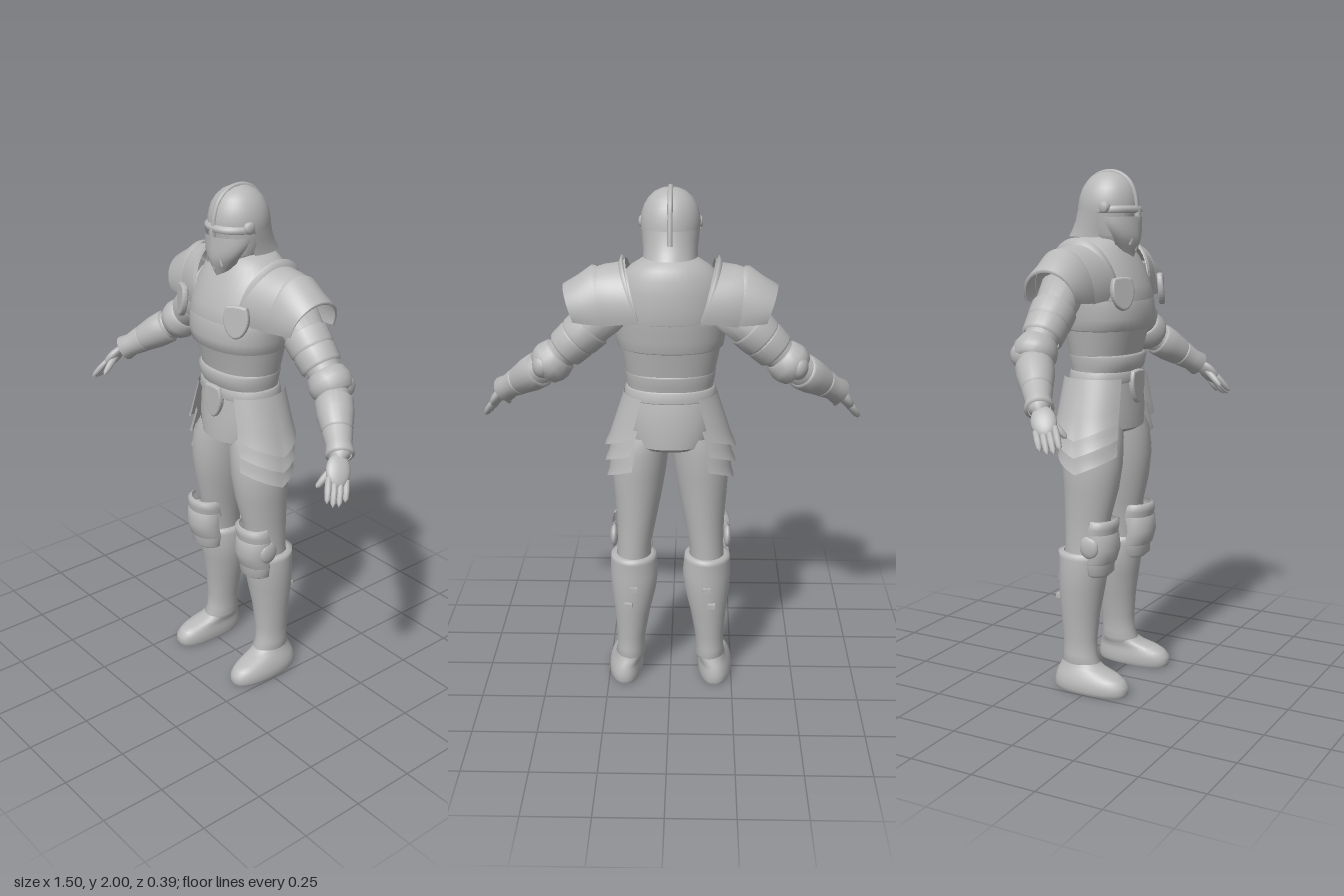
import * as THREE from 'three';

const steel = new THREE.MeshStandardMaterial({ color: 0xb8b8b8, side: THREE.DoubleSide });
steel.name = 'steel';
const V = (x, y, z) => new THREE.Vector3(x, y, z);
const PI = Math.PI;

// Smooth surface grid; fn(u, v) returns a point, closed joins u = 1 to u = 0
function grid(nu, nv, fn, closed = false) {
  const pos = [], idx = [], cols = closed ? nu : nu + 1;
  for (let j = 0; j <= nv; j++)
    for (let i = 0; i < cols; i++) pos.push(...fn(i / nu, j / nv, j));
  for (let j = 0; j < nv; j++)
    for (let i = 0; i < nu; i++) {
      const a = j * cols + i, b = j * cols + (i + 1) % cols;
      idx.push(a, a + cols, b, b, a + cols, b + cols);
    }
  const g = new THREE.BufferGeometry();
  g.setAttribute('position', new THREE.Float32BufferAttribute(pos, 3));
  g.setIndex(idx);
  g.computeVertexNormals();
  return g;
}

// Loft of horizontal oval rings [y, x0, x1, z0, z1], bottom to top.
// A repeated ring makes a crease; t0..t1 picks an open arc (0 = +x, PI/2 = front).
function loft(rings, { t0 = 0, t1 = 2 * PI, n = 36, p = 2 } = {}) {
  const pw = (c) => Math.sign(c) * Math.abs(c) ** (2 / p);
  return grid(n, rings.length - 1, (u, v, j) => {
    const [y, x0, x1, z0, z1] = rings[j], t = t0 + (t1 - t0) * u;
    return [(x0 + x1 + (x1 - x0) * pw(Math.cos(t))) / 2, y, (z0 + z1 + (z1 - z0) * pw(Math.sin(t))) / 2];
  }, t1 - t0 > 6.28);
}
// Symmetric rings [y, halfWidth, z0, z1]
const sym = (rows) => rows.map(([y, w, a, b]) => [y, -w, w, a, b]);

// Round sleeve from a to b with profile [t, radius]
function sleeve(a, b, profile, n = 20) {
  const d = b.clone().sub(a), len = d.length();
  const g = new THREE.LatheGeometry(profile.map(([t, r]) => new THREE.Vector2(r, t * len)), n);
  g.applyQuaternion(new THREE.Quaternion().setFromUnitVectors(V(0, 1, 0), d.normalize()));
  return g.translate(a.x, a.y, a.z);
}

// Arched plate along x from stations [x, cy, cz, halfDepth, height]
function arch(stations, lean) {
  return grid(28, stations.length - 1, (u, v, j) => {
    const [x, cy, cz, a, b] = stations[j], t = -0.2 + u * (PI + 0.4);
    return [x - lean * (1 - Math.sin(t)), cy + b * Math.sin(t), cz + a * Math.cos(t)];
  });
}

// Bevelled shield plate facing +z
function shield(w, top, bottom) {
  const s = new THREE.Shape();
  s.moveTo(-w * 0.8, top);
  s.quadraticCurveTo(0, top * 1.15, w * 0.8, top);
  s.quadraticCurveTo(w * 1.25, 0, w * 0.6, bottom * 0.7);
  s.quadraticCurveTo(w * 0.3, bottom, 0, bottom);
  s.quadraticCurveTo(-w * 0.3, bottom, -w * 0.6, bottom * 0.7);
  s.quadraticCurveTo(-w * 1.25, 0, -w * 0.8, top);
  return new THREE.ExtrudeGeometry(s, { depth: 0.008, bevelEnabled: true, bevelSize: 0.008, bevelThickness: 0.008, bevelSegments: 3, curveSegments: 8 });
}

function mirrored(g) {
  const m = g.clone().scale(-1, 1, 1);
  const n = m.attributes.position.count;
  const idx = m.index ? Array.from(m.index.array) : Array.from({ length: n }, (_, i) => i);
  for (let i = 0; i < idx.length; i += 3) [idx[i], idx[i + 1]] = [idx[i + 1], idx[i]];
  m.setIndex(idx);
  return m;
}

export function createModel() {
  const model = new THREE.Group();
  model.name = 'armouredKnight';
  const add = (name, g) => {
    const m = new THREE.Mesh(g, steel);
    m.name = name;
    model.add(m);
  };
  const pair = (name, g) => { add(name + 'Left', g); add(name + 'Right', mirrored(g)); };

  // Torso
  add('breastplate', loft(sym([[1.405, 0.19, -0.172, 0.122], [1.41, 0.2, -0.178, 0.138], [1.45, 0.207, -0.183, 0.146], [1.5, 0.213, -0.19, 0.142],
    [1.525, 0.213, -0.192, 0.134]]), { p: 2.2 }));
  add('upperChest', loft(sym([[1.515, 0.212, -0.19, 0.132], [1.52, 0.217, -0.194, 0.141], [1.57, 0.213, -0.196, 0.128], [1.63, 0.2, -0.193, 0.105],
    [1.68, 0.18, -0.184, 0.078], [1.715, 0.145, -0.172, 0.055], [1.74, 0.105, -0.155, 0.035], [1.75, 0.06, -0.12, 0.01]]), { p: 2.1 }));
  add('abdomen', loft(sym([[1.27, 0.16, -0.145, 0.092], [1.32, 0.172, -0.152, 0.098], [1.42, 0.192, -0.172, 0.125]]), { p: 2.2 }));
  add('waistPlate', loft(sym([[1.24, 0.162, -0.142, 0.095], [1.265, 0.166, -0.147, 0.108], [1.305, 0.173, -0.155, 0.115], [1.312, 0.168, -0.15, 0.1]]), { p: 2.2 }));
  add('belt', loft(sym([[1.205, 0.172, -0.15, 0.098], [1.21, 0.178, -0.155, 0.106], [1.245, 0.172, -0.15, 0.104], [1.25, 0.164, -0.144, 0.094]]), { p: 2.2 }));
  add('hips', loft(sym([[1.0, 0.03, -0.06, 0.02], [1.015, 0.13, -0.15, 0.085], [1.03, 0.155, -0.168, 0.11], [1.03, 0.155, -0.168, 0.11],
    [1.1, 0.175, -0.166, 0.108], [1.17, 0.175, -0.158, 0.1], [1.22, 0.17, -0.148, 0.095]]), { p: 2.2 }));
  add('buckle', shield(0.042, 0.04, -0.07).translate(0, 1.2, 0.1));
  add('neck', loft(sym([[1.7, 0.085, -0.13, 0.04], [1.76, 0.07, -0.115, 0.03], [1.84, 0.065, -0.11, 0.03]])));

  // Helmet
  add('helmetDome', loft(sym([[1.845, 0.108, -0.137, 0.098], [1.87, 0.11, -0.134, 0.1], [1.9, 0.106, -0.128, 0.095], [1.93, 0.096, -0.117, 0.086],
    [1.955, 0.08, -0.1, 0.07], [1.975, 0.058, -0.077, 0.047], [1.987, 0.032, -0.05, 0.018], [1.992, 0.001, -0.021, -0.019]])));
  add('neckGuard', loft(sym([[1.75, 0.1, -0.178, 0.06], [1.775, 0.1, -0.163, 0.07], [1.81, 0.104, -0.147, 0.085], [1.85, 0.108, -0.137, 0.098]]),
    { t0: PI * 0.88, t1: PI * 2.12 }));
  add('head', loft(sym([[1.7, 0.04, -0.08, 0.05], [1.76, 0.075, -0.1, 0.075], [1.86, 0.095, -0.12, 0.085]])));
  add('visor', grid(24, 6, (u, v) => {
    const s = u * 2 - 1, w = 0.045 + 0.062 * Math.sin(v * PI / 2);
    return [w * Math.sin(-s * PI / 2), 1.675 + 0.15 * v + 0.035 * Math.abs(s) * (1 - v), 0.088 + 0.026 * Math.min(1, v * 2.5) - (0.05 + 0.05 * v) * Math.abs(s) ** 1.5];
  }));
  add('browRidge', loft(sym([[1.838, 0.107, -0.13, 0.1], [1.842, 0.113, -0.13, 0.113], [1.858, 0.113, -0.13, 0.112], [1.866, 0.107, -0.13, 0.1]]),
    { t0: PI * 0.02, t1: PI * 0.98 }));
  add('noseRidge', sleeve(V(0, 1.69, 0.095), V(0, 1.86, 0.108), [[0, 0], [0.08, 0.008], [0.9, 0.012], [1, 0]], 8));
  const crest = [[0.1, 1.86], [0.094, 1.9], [0.072, 1.95], [0.03, 1.982], [-0.02, 1.99], [-0.07, 1.976], [-0.11, 1.94], [-0.128, 1.89], [-0.148, 1.8]];
  add('crest', new THREE.TubeGeometry(new THREE.CatmullRomCurve3(crest.map(([z, y]) => V(0, y, z))), 40, 0.01, 8));
  pair('visorHinge', sleeve(V(0.095, 1.86, 0.02), V(0.118, 1.86, 0.02), [[0, 0.022], [0.7, 0.022], [1, 0.014], [1, 0]], 14));
  pair('cheekGuard', loft(sym([[1.755, 0.09, -0.09, 0.085], [1.79, 0.1, -0.11, 0.09], [1.85, 0.107, -0.13, 0.095]]), { t0: -0.4, t1: 1.0, n: 10 }));
  pair('breathSlot', new THREE.BoxGeometry(0.007, 0.05, 0.007).rotateZ(0.3).rotateY(0.6).translate(0.035, 1.745, 0.098));

  // Shoulders and chest rondels
  pair('shoulderPlate', arch([[0.165, 1.56, -0.055, 0.145, 0.18], [0.18, 1.56, -0.055, 0.145, 0.165], [0.24, 1.555, -0.06, 0.135, 0.162],
    [0.3, 1.545, -0.065, 0.12, 0.155], [0.305, 1.545, -0.065, 0.115, 0.147]], 0.045));
  pair('shoulderFlare', arch([[0.27, 1.55, -0.063, 0.118, 0.162], [0.29, 1.55, -0.063, 0.122, 0.164], [0.34, 1.545, -0.065, 0.112, 0.133],
    [0.395, 1.545, -0.065, 0.106, 0.1], [0.39, 1.54, -0.065, 0.1, 0.092]], 0.035));
  pair('collarRidge', arch([[0.172, 1.57, -0.055, 0.135, 0.165], [0.18, 1.57, -0.055, 0.145, 0.18], [0.19, 1.56, -0.055, 0.14, 0.165]], 0.05));
  pair('rondel', shield(0.043, 0.048, -0.055).rotateX(-0.1).rotateY(0.45).translate(0.158, 1.55, 0.122));

  // Arms
  const shoulder = V(0.22, 1.56, -0.09), elbow = V(0.455, 1.34, -0.075), wrist = V(0.655, 1.19, 0.07);
  pair('upperArm', sleeve(shoulder, elbow, [[0, 0], [0, 0.085], [0.4, 0.074], [0.8, 0.062], [1.02, 0.055], [1.08, 0]]));
  pair('upperArmPlate', sleeve(shoulder, elbow, [[0.3, 0.078], [0.32, 0.086], [0.5, 0.083], [0.53, 0.078], [0.53, 0.078], [0.55, 0.081], [0.72, 0.077], [0.75, 0.068]]));
  pair('elbowCop', sleeve(shoulder, elbow, [[0.8, 0.06], [0.82, 0.072], [0.93, 0.082], [1.0, 0.08], [1.08, 0.07], [1.1, 0.055]]));
  pair('elbowPoint', new THREE.SphereGeometry(0.05, 16, 12).scale(0.8, 1, 1).translate(0.475, 1.345, -0.105));
  pair('forearm', sleeve(elbow, wrist, [[0, 0], [0, 0.058], [0.4, 0.058], [1, 0.036], [1.1, 0]]));
  pair('vambrace', sleeve(elbow, wrist, [[0.2, 0.058], [0.22, 0.07], [0.4, 0.067], [0.62, 0.056], [0.64, 0.05], [0.64, 0.05], [0.66, 0.055], [0.85, 0.046], [0.98, 0.052], [1, 0.04]]));

  // Hands
  const dir = V(0.43, -0.72, 0.45).normalize(), wide = V(-0.45, 0.25, 0.85).normalize(), thin = wide.clone().cross(dir).normalize();
  wide.copy(dir).cross(thin).normalize();
  const finger = [[0, 0], [0.02, 0.011], [0.5, 0.0125], [0.85, 0.01], [1, 0]];
  const palm = new THREE.Matrix4().makeBasis(wide.clone().multiplyScalar(0.045), dir.clone().multiplyScalar(0.062), thin.clone().multiplyScalar(0.022));
  pair('palm', new THREE.SphereGeometry(1, 18, 14).applyMatrix4(palm.setPosition(0.68, 1.155, 0.102)));
  for (let i = 0; i < 4; i++) {
    const base = V(0.693, 1.135, 0.115).addScaledVector(wide, (i - 1.5) * 0.022);
    pair('finger' + (i + 1), sleeve(base, base.clone().addScaledVector(dir, [0.08, 0.1, 0.105, 0.095][i]), finger, 10));
  }
  pair('thumb', sleeve(V(0.665, 1.17, 0.1), V(0.65, 1.1, 0.175), [[0, 0], [0.1, 0.016], [0.6, 0.014], [0.9, 0.01], [1, 0]], 10));

  // Side skirt: three overlapping chevron plates, lowest first
  [[1.02, 0.87, 0.222, 0.244], [1.1, 0.935, 0.205, 0.25], [1.225, 1.0, 0.178, 0.25]].forEach(([top, low, r0, r1], k) => {
    pair('skirtPlate' + (3 - k), grid(20, 6, (u, v) => {
      const s = u * 2 - 1, t = s * 1.02, bottom = low + 0.065 * Math.abs(s);
      const r = r1 + (r0 - r1) * v + (v === 0 ? 0.004 : 0);
      return [r * Math.cos(t) ** 0.8, bottom + (top - bottom) * v, -0.03 + (0.15 + 0.004 * k - 0.012 * v) * Math.sin(t)];
    }));
  });

  // Legs
  pair('thigh', loft([[0.5, 0.08, 0.215, -0.125, 0.035], [0.6, 0.075, 0.21, -0.125, 0.045], [0.7, 0.055, 0.212, -0.13, 0.06], [0.8, 0.035, 0.22, -0.135, 0.085],
    [0.9, 0.018, 0.226, -0.143, 0.098], [1.0, 0.006, 0.215, -0.15, 0.095], [1.06, 0.004, 0.18, -0.14, 0.08]]));
  pair('greave', loft([[0.09, 0.11, 0.21, -0.12, 0.02], [0.11, 0.102, 0.222, -0.132, 0.026], [0.14, 0.106, 0.216, -0.126, 0.012], [0.2, 0.1, 0.216, -0.128, 0.01],
    [0.3, 0.082, 0.224, -0.138, 0.018], [0.4, 0.058, 0.236, -0.147, 0.034], [0.47, 0.05, 0.24, -0.147, 0.045], [0.53, 0.055, 0.238, -0.146, 0.048],
    [0.55, 0.058, 0.235, -0.15, 0.048], [0.552, 0.075, 0.215, -0.13, 0.035]]));
  [0.43, 0.36].forEach((y, i) => pair('greaveClasp' + i, new THREE.BoxGeometry(0.03, 0.018, 0.02).translate(0.145 + i * 0.02, y, -0.147)));

  // Knee guards
  const front = { t0: -0.15, t1: PI + 0.15, n: 24 };
  pair('kneeUpper', loft([[0.62, 0.078, 0.232, -0.05, 0.09], [0.66, 0.072, 0.236, -0.04, 0.098], [0.685, 0.075, 0.23, -0.03, 0.1], [0.69, 0.085, 0.22, -0.03, 0.085]], front));
  pair('kneeCop', loft([[0.515, 0.085, 0.222, -0.04, 0.075], [0.525, 0.073, 0.236, -0.04, 0.088], [0.58, 0.077, 0.23, -0.035, 0.106],
    [0.635, 0.075, 0.236, -0.04, 0.098], [0.645, 0.085, 0.225, -0.04, 0.085]], front));
  pair('kneeLower', loft([[0.465, 0.1, 0.205, -0.02, 0.06], [0.48, 0.08, 0.228, -0.03, 0.076], [0.53, 0.076, 0.23, -0.04, 0.08]], front));
  pair('kneeWing', new THREE.SphereGeometry(1, 16, 12).scale(0.016, 0.045, 0.04).translate(0.228, 0.59, 0.02));

  // Boots
  pair('boot', loft([[0, 0.18, 0.19, 0, 0.01], [0, 0.12, 0.245, -0.148, 0.155], [0, 0.12, 0.245, -0.148, 0.155], [0.015, 0.114, 0.253, -0.154, 0.162],
    [0.04, 0.115, 0.25, -0.152, 0.16], [0.06, 0.118, 0.243, -0.147, 0.142], [0.075, 0.12, 0.235, -0.142, 0.112], [0.09, 0.115, 0.226, -0.136, 0.055],
    [0.11, 0.11, 0.218, -0.128, 0.018], [0.14, 0.11, 0.21, -0.12, 0.005]], { p: 2.3 }));

  return model;
}
